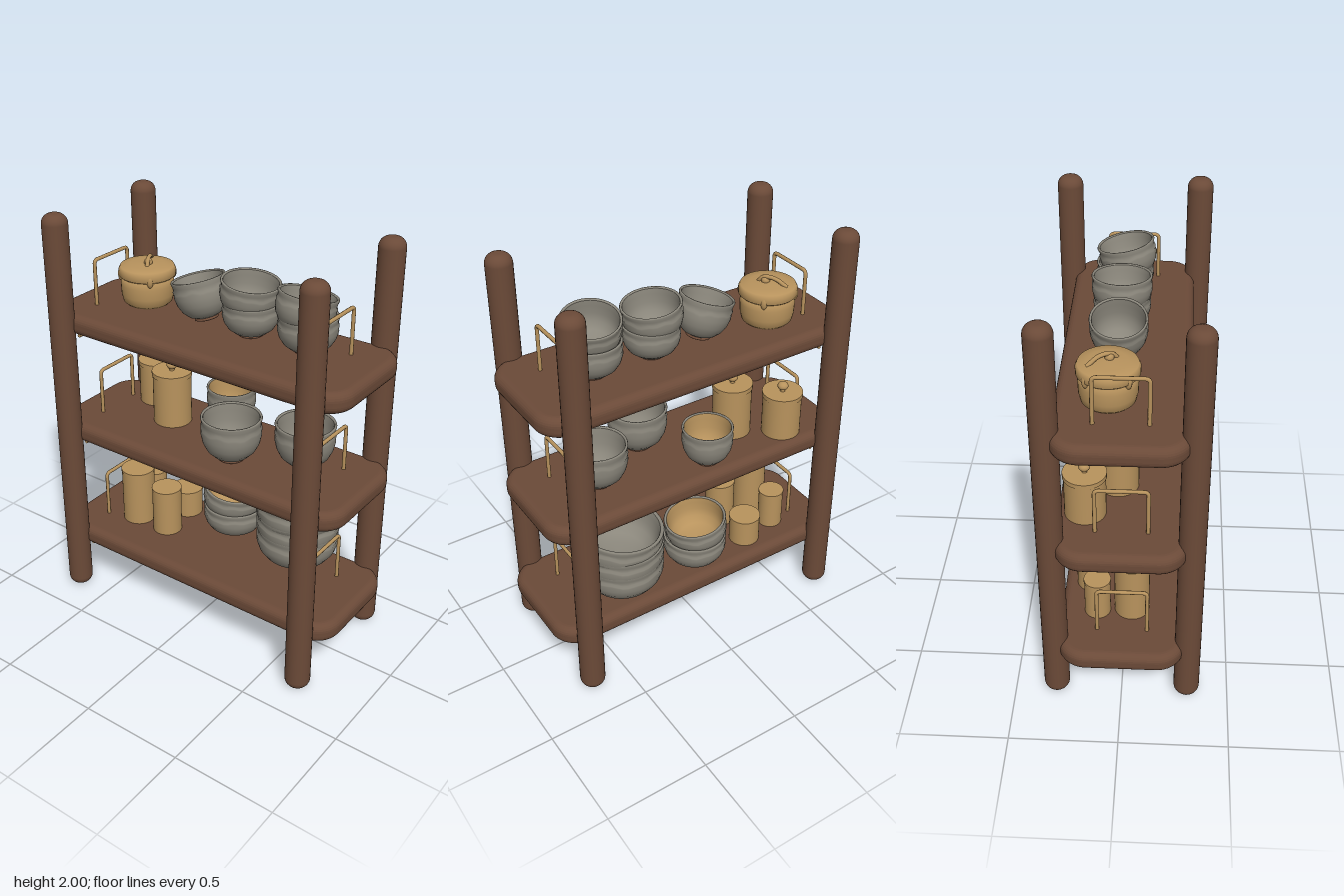
import * as THREE from 'three';

const mat = (name, color) => {
  const m = new THREE.MeshStandardMaterial({ color });
  m.name = name;
  return m;
};

export function createModel() {
  const root = new THREE.Group();
  root.name = 'potteryShelf';
  const wood = mat('brown wood', 0x6b4a38);
  const glaze = mat('grey glaze', 0x8b877c);
  const tan = mat('tan clay', 0xb8935d);
  const clay = mat('raw clay', 0x7a5540);

  const add = (name, geo, material, x = 0, y = 0, z = 0, parent = root) => {
    const m = new THREE.Mesh(geo, material);
    m.name = name;
    m.position.set(x, y, z);
    parent.add(m);
    return m;
  };
  const lathe = (pts, seg = 40) =>
    new THREE.LatheGeometry(pts.map(([r, y]) => new THREE.Vector2(r, y)), seg);

  // Posts with softly rounded ends
  const R = 0.06, k = 0.045, post = [[0, 0]];
  for (let i = 0; i <= 6; i++) {
    const a = (i / 6) * Math.PI / 2;
    post.push([R - k + k * Math.sin(a), k - k * Math.cos(a)]);
  }
  for (let i = 0; i <= 6; i++) {
    const a = (i / 6) * Math.PI / 2;
    post.push([R - k + k * Math.cos(a), 2 - k + k * Math.sin(a)]);
  }
  post.push([0, 2]);
  for (const x of [-0.306, 0.306])
    for (const z of [-0.675, 0.675]) add('post', lathe(post, 28), wood, x, 0, z);

  // Shelf boards: rounded rectangle with a soft bevelled edge
  const bevel = 0.038, hw = 0.289 - bevel, hd = 0.8 - bevel, c = 0.09;
  const board = new THREE.Shape();
  board.moveTo(-hw + c, -hd);
  board.lineTo(hw - c, -hd).absarc(hw - c, -hd + c, c, -Math.PI / 2, 0);
  board.lineTo(hw, hd - c).absarc(hw - c, hd - c, c, 0, Math.PI / 2);
  board.lineTo(-hw + c, hd).absarc(-hw + c, hd - c, c, Math.PI / 2, Math.PI);
  board.lineTo(-hw, -hd + c).absarc(-hw + c, -hd + c, c, Math.PI, Math.PI * 1.5);
  const boardGeo = new THREE.ExtrudeGeometry(board, {
    depth: 0.098 - 2 * bevel, bevelSize: bevel, bevelThickness: bevel, bevelSegments: 6, curveSegments: 8,
  });
  boardGeo.rotateX(-Math.PI / 2).translate(0, bevel - 0.098, 0);

  // Rails: an upright loop above and a thin rod below each shelf end
  const loop = (h) => {
    const p = new THREE.CurvePath(), w = 0.115, r = 0.02;
    const v = (x, y) => new THREE.Vector3(x, y, 0);
    p.add(new THREE.LineCurve3(v(-w, -0.02), v(-w, h - r)));
    p.add(new THREE.QuadraticBezierCurve3(v(-w, h - r), v(-w, h), v(-w + r, h)));
    p.add(new THREE.LineCurve3(v(-w + r, h), v(w - r, h)));
    p.add(new THREE.QuadraticBezierCurve3(v(w - r, h), v(w, h), v(w, h - r)));
    p.add(new THREE.LineCurve3(v(w, h - r), v(w, -0.02)));
    return new THREE.TubeGeometry(p, 80, 0.009, 8);
  };
  const tops = [0.342, 0.943, 1.515];
  tops.forEach((y, i) => {
    add('shelfBoard', boardGeo, wood, 0, y, 0);
    const [x0, x1] = i === 0 ? [-0.25, 0.1] : [-0.25, 0.25];
    for (const z of [0.617, -0.627]) {
      add('endRail', loop([0.238, 0.225, 0.22][i]), tan, 0, y, z);
      const rod = new THREE.CylinderGeometry(0.009, 0.009, x1 - x0, 8).rotateZ(Math.PI / 2);
      add('underRod', rod, tan, (x0 + x1) / 2, y - 0.112, z);
    }
  });

  // Bowls: glazed wall with a wavy drip line, inner lining and clay foot
  const outer = [[0.4, 0.06], [0.6, 0.12], [0.8, 0.25], [0.93, 0.42], [0.99, 0.6], [0.98, 0.7],
    [0.995, 0.75], [0.955, 0.79], [0.965, 0.88], [1, 0.97], [0.98, 1], [0.93, 1], [0.91, 0.97]];
  const inner = [[0.91, 0.97], [0.88, 0.82], [0.86, 0.6], [0.78, 0.4], [0.6, 0.24], [0.35, 0.17], [0, 0.15]];
  const foot = [[0, 0], [0.4, 0], [0.44, 0.02], [0.43, 0.11], [0, 0.11]];
  const bowl = (x, rimY, z, r, h, rx = 0, rz = 0, lining = glaze) => {
    const g = new THREE.Group();
    g.name = 'bowl';
    const sized = (pts) => lathe(pts.map(([a, b]) => [a * r, (b - 1) * h]), 48);
    const wall = sized(outer), p = wall.attributes.position, n = outer.length;
    for (let i = 0; i < p.count; i++) {
      const j = i % n, a = (Math.floor(i / n) / 48) * Math.PI * 2;
      if (j >= 5 && j <= 7)
        p.setY(i, p.getY(i) + h * (0.02 * Math.sin(5 * a + x * 40) + 0.015 * Math.sin(11 * a + z * 30)));
    }
    add('bowlWall', wall, glaze, 0, 0, 0, g);
    add('bowlLining', sized(inner), lining, 0, 0, 0, g);
    add('bowlFoot', sized(foot), clay, 0, 0, 0, g);
    g.position.set(x, rimY, z);
    g.rotation.set(rx, 0, rz);
    root.add(g);
  };
  // Top shelf
  bowl(0.035, 1.685, 0.445, 0.134, 0.17);
  bowl(0.035, 1.78, 0.443, 0.134, 0.17, 0.08, -0.2);
  bowl(0.035, 1.675, 0.15, 0.13, 0.16);
  bowl(0.035, 1.768, 0.15, 0.136, 0.17, 0.11, 0);
  bowl(0.035, 1.718, -0.143, 0.127, 0.195, -0.27, 0);
  // Middle shelf
  bowl(0.045, 1.158, 0.45, 0.14, 0.215);
  bowl(-0.105, 1.163, 0.148, 0.142, 0.22);
  bowl(0.18, 1.138, -0.055, 0.12, 0.195, 0, 0, tan);
  // Bottom shelf
  bowl(0.12, 0.55, 0.385, 0.2, 0.208);
  bowl(0.12, 0.632, 0.385, 0.203, 0.2, -0.02, 0);
  bowl(0.12, 0.71, 0.385, 0.204, 0.2, -0.08, -0.05);
  bowl(0.15, 0.51, -0.01, 0.155, 0.168);
  bowl(0.15, 0.603, -0.01, 0.152, 0.17, 0.12, 0, tan);

  // Lidded jar with side lugs and a strap handle
  const jar = new THREE.Group();
  jar.name = 'liddedJar';
  jar.position.set(0.06, 1.515, -0.458);
  root.add(jar);
  add('jarBody', lathe([[0, 0], [0.1, 0], [0.116, 0.015], [0.124, 0.05], [0.126, 0.1], [0.12, 0.14], [0, 0.14]]), tan, 0, 0, 0, jar);
  add('jarLid', lathe([[0, 0.135], [0.126, 0.135], [0.134, 0.142], [0.134, 0.168], [0.126, 0.184], [0.08, 0.192], [0, 0.196]]), tan, 0, 0, 0, jar);
  const strap = new THREE.CatmullRomCurve3([[-0.04, 0.18, 0.032], [-0.015, 0.213, 0.018], [0.035, 0.216, -0.01], [0.085, 0.185, -0.042]]
    .map((q) => new THREE.Vector3(...q)));
  add('lidHandle', new THREE.TubeGeometry(strap, 20, 0.01, 8), tan, 0, 0, 0, jar);
  add('lidKnob', new THREE.SphereGeometry(0.02, 16, 10), tan, -0.005, 0.2, 0.012, jar);
  for (let i = 0; i < 4; i++) {
    const a = Math.PI / 4 + (i * Math.PI) / 2;
    const lug = add('jarLug', new THREE.SphereGeometry(0.016, 12, 8), tan, 0.122 * Math.cos(a), 0.145, 0.122 * Math.sin(a), jar);
    lug.scale.y = 2;
  }

  // Canisters with a thin lid and a round knob
  const cyl = (r, h) => new THREE.CylinderGeometry(r, r, h, 36).translate(0, h / 2, 0);
  for (const [x, z, h] of [[0.03, -0.3, 0.245], [0.165, -0.497, 0.2]]) {
    add('canisterBody', cyl(0.093, h), tan, x, 0.943, z);
    add('canisterLid', cyl(0.097, 0.022), tan, x, 0.943 + h, z);
    add('knobStem', cyl(0.012, 0.02), tan, x, 0.96 + h, z);
    add('canisterKnob', new THREE.SphereGeometry(0.026, 18, 12).scale(1, 0.8, 1), tan, x, 0.993 + h, z);
  }

  // Plain cups and pots in four heights
  for (const [x, z, r, h] of [[-0.04, -0.295, 0.075, 0.245], [0.155, -0.312, 0.078, 0.143],
    [-0.04, -0.48, 0.084, 0.293], [0.12, -0.502, 0.063, 0.198]]) {
    add('potBody', cyl(r - 0.002, h - 0.014), tan, x, 0.342, z);
    add('potLid', cyl(r, 0.014), tan, x, 0.328 + h, z);
  }
  return root;
}
